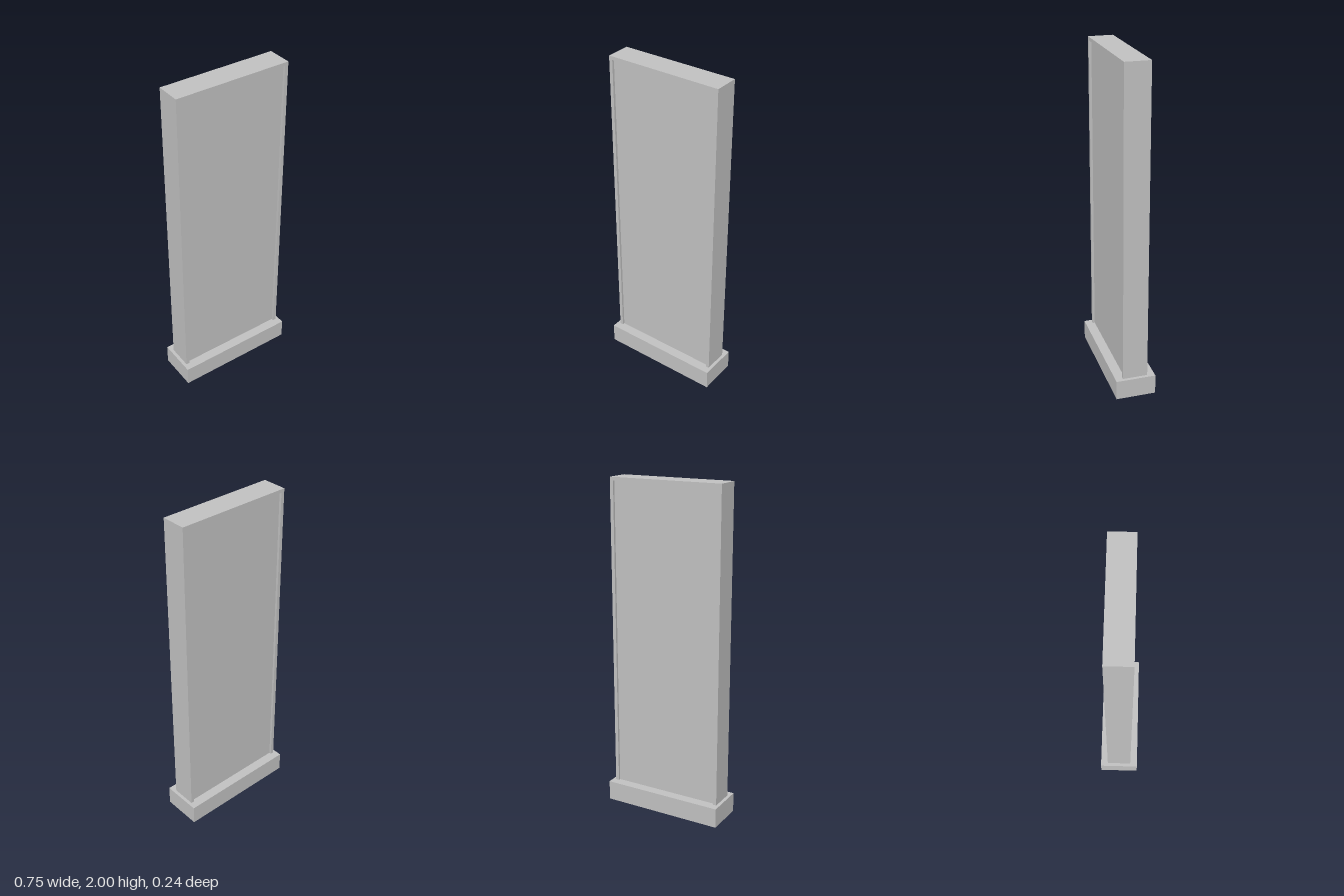
import * as THREE from 'three';

export function createModel() {
  const group = new THREE.Group();
  const grey = new THREE.MeshStandardMaterial({ color: 0xc0c0c0 });
  grey.name = 'light grey';

  const add = (name, geometry, x = 0, y = 0, z = 0) => {
    const mesh = new THREE.Mesh(geometry, grey);
    mesh.name = name;
    mesh.position.set(x, y, z);
    group.add(mesh);
  };

  const baseW = 0.746, baseH = 0.12, baseD = 0.24;
  const halfW = 0.353, depth = 0.15, rim = 0.021, recess = 0.014;

  // Plinth
  add('base', new THREE.BoxGeometry(baseW, baseH, baseD), 0, baseH / 2, 0);

  // Surround: an upside-down U standing on the plinth
  const inner = halfW - rim;
  const outline = new THREE.Shape([
    [-halfW, baseH], [-inner, baseH], [-inner, 2 - rim], [inner, 2 - rim],
    [inner, baseH], [halfW, baseH], [halfW, 2], [-halfW, 2],
  ].map(([x, y]) => new THREE.Vector2(x, y)));
  add('frame', new THREE.ExtrudeGeometry(outline, { depth, bevelEnabled: false }), 0, 0, -depth / 2);

  // Panel set back from the frame on both faces
  const panelH = 2 - rim - baseH;
  add('panel', new THREE.BoxGeometry(inner * 2, panelH, depth - recess * 2), 0, baseH + panelH / 2, 0);

  return group;
}
